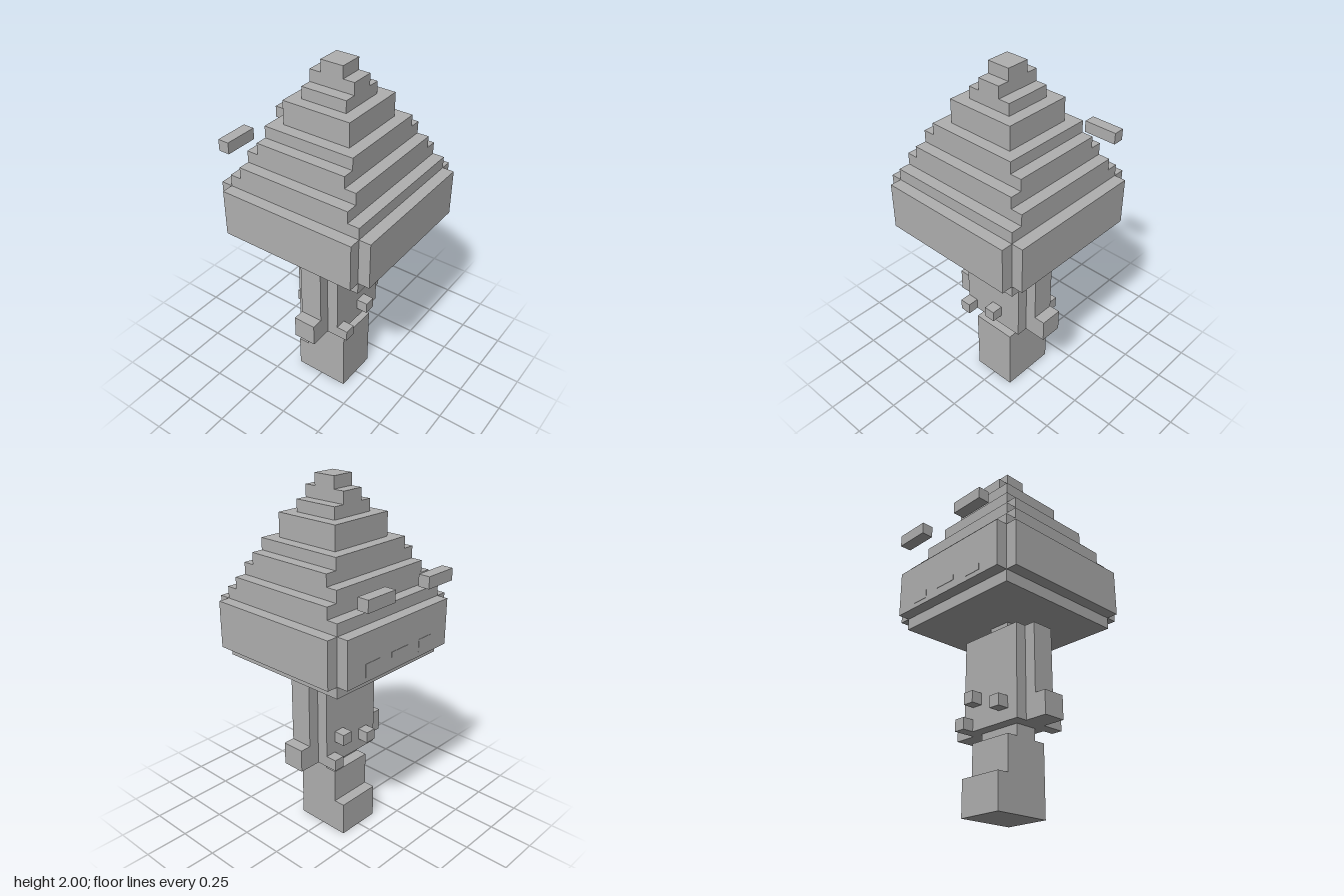
import * as THREE from 'three';

const U = 2 / 31; // size of one block

export function createModel() {
  const model = new THREE.Group();
  model.name = 'blockFigure';
  const grey = new THREE.MeshStandardMaterial({ color: 0xb0b0b0 });
  grey.name = 'plain grey';

  // Box between two corners, measured in blocks
  const block = (name, x0, x1, y0, y1, z0, z1, parent = model) => {
    const geo = new THREE.BoxGeometry((x1 - x0) * U, (y1 - y0) * U, (z1 - z0) * U);
    const mesh = new THREE.Mesh(geo, grey);
    mesh.position.set((x0 + x1) / 2 * U, (y0 + y1) / 2 * U, (z0 + z1) / 2 * U);
    mesh.name = name;
    parent.add(mesh);
  };
  // The same box on the left (+x) and right (-x)
  const pair = (name, x0, x1, ...rest) => {
    block(name + 'Left', x0, x1, ...rest);
    block(name + 'Right', -x1, -x0, ...rest);
  };

  // Legs, foot and waist
  block('legs', -2, 2, 0, 6, -1.5, 2.5);
  block('foot', -2, 2, 0, 3, -2.5, -1.5);
  block('waist', -2, 2, 6, 7, -0.5, 1.5);

  // Torso, arms, hands and neck
  block('torso', -3, 3, 7, 15, -1.5, 2.5);
  pair('arm', 3, 4, 7, 15, -0.5, 1.5);
  pair('hand', 4, 5, 7, 9, -0.5, 1.5);
  block('neck', -1, 1, 15, 16, -0.5, 1.5);

  // Single-block studs on the torso: x, y, z of the lower corner
  const studs = [[-3, 7, 2.5], [0, 8, 2.5], [1, 9, -2.5], [2, 7, -2.5], [-2, 8, -2.5]];
  for (const [x, y, z] of studs) block('torsoStud', x, x + 1, y, y + 1, z, z + 1);

  // Stepped head and peak: y0, y1, half width, half depth (centred on z = 0.5)
  const head = new THREE.Group();
  head.name = 'steppedHead';
  model.add(head);
  const layers = [
    [16, 22, 6, 6], [22, 23, 6, 5], [23, 24, 5, 5], [24, 25, 5, 4], [25, 26, 4, 4],
    [26, 28, 3, 3], [28, 29, 2, 2], [29, 30, 1, 2], [30, 31, 1, 1],
  ];
  for (const [y0, y1, w, d] of layers) block('headLayer', -w, w, y0, y1, 0.5 - d, 0.5 + d, head);

  // Slabs around the four sides of the head
  pair('sideSlab', 6, 7, 17, 21, -5.5, 6.5);
  block('frontSlab', -6, 6, 17, 21, 6.5, 7.5);
  block('backSlab', -6, 6, 17, 21, -6.5, -5.5);

  // Floating brows and thin face details on the back
  pair('brow', 2, 5, 23, 24, -7.5, -6.5);
  pair('eye', 2.4, 4, 17.4, 18.5, -6.53, -6.5);
  block('mouth', -1, 1, 17.7, 18.5, -6.53, -6.5);

  return model;
}
